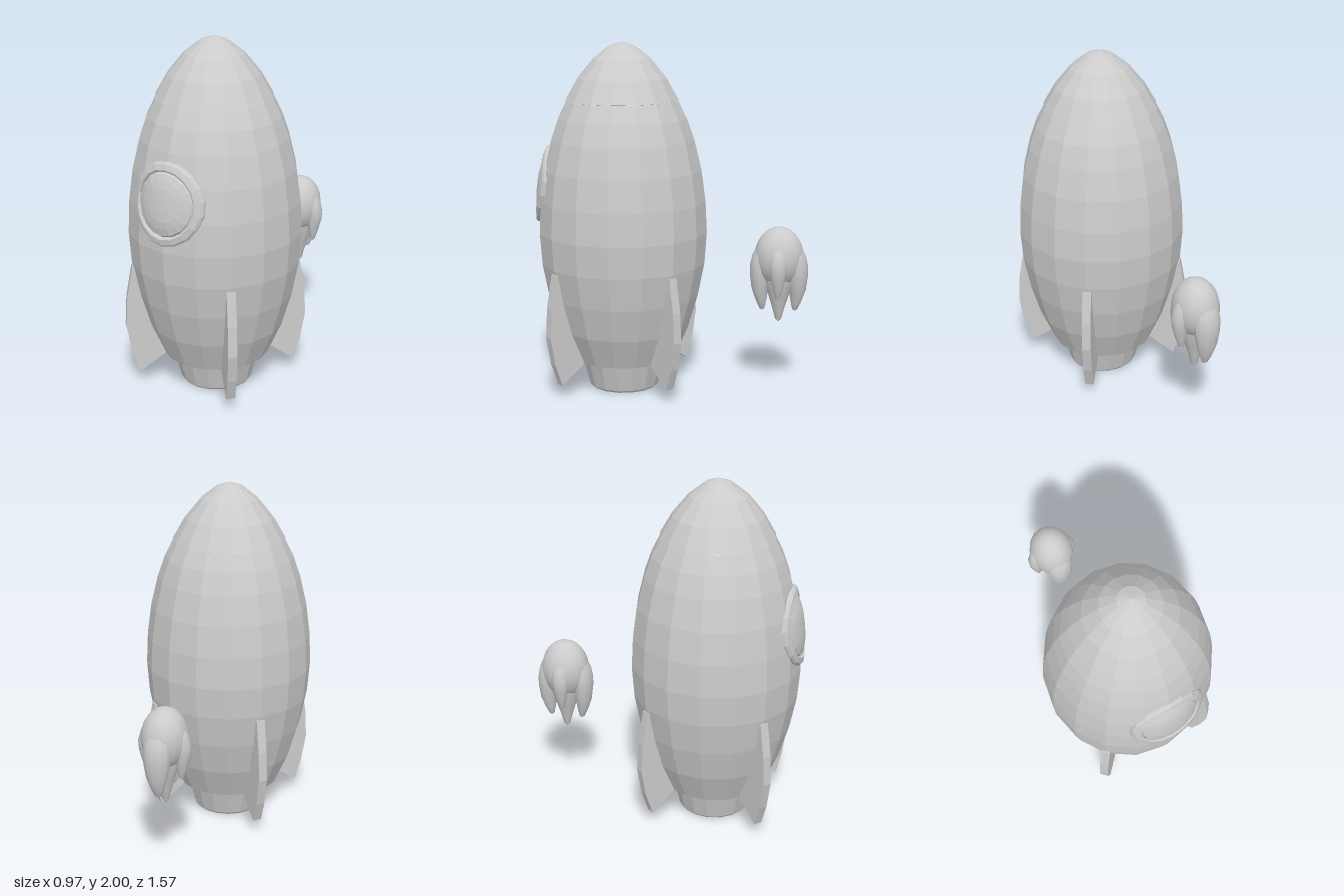
import * as THREE from 'three';

const AXIS_Z = 0.28; // the rocket stands forward of the origin
const material = new THREE.MeshStandardMaterial({ color: 0xcccccc, flatShading: true });
const smooth = new THREE.MeshStandardMaterial({ color: 0xcccccc });

// hull outline as [radius, height], bottom to top
const HULL = [[0.3, 0.18], [0.38, 0.36], [0.435, 0.55], [0.472, 0.74], [0.485, 0.92],
  [0.477, 1.1], [0.453, 1.28], [0.412, 1.45], [0.37, 1.57], [0.32, 1.67]];

function lathe(points, sides) {
  return new THREE.LatheGeometry(points.map(([r, y]) => new THREE.Vector2(r, y)), sides);
}

function add(parent, name, geometry, mat = material) {
  const mesh = new THREE.Mesh(geometry, mat);
  mesh.name = name;
  parent.add(mesh);
  return mesh;
}

// move every vertex by a rule
function bend(geometry, rule) {
  const pos = geometry.attributes.position;
  const v = new THREE.Vector3();
  for (let i = 0; i < pos.count; i++) {
    rule(v.fromBufferAttribute(pos, i), i);
    pos.setXYZ(i, v.x, v.y, v.z);
  }
  geometry.computeVertexNormals();
  return geometry;
}

function hullRadius(y) {
  const k = Math.max(1, HULL.findIndex((p) => p[1] >= y));
  const [r0, y0] = HULL[k - 1], [r1, y1] = HULL[k];
  return THREE.MathUtils.lerp(r0, r1, (y - y0) / (y1 - y0));
}

// round part laid on the front of the hull, following its curve
function onHull(points, sides) {
  const geometry = lathe(points, sides).rotateX(Math.PI / 2).translate(0, 1.185, 0);
  return bend(geometry, (v) => { v.z += Math.sqrt(hullRadius(v.y) ** 2 - v.x ** 2); });
}

function makeFin() {
  const shape = new THREE.Shape();
  shape.moveTo(0.28, 0.19);
  shape.lineTo(0.445, 0.075);
  shape.lineTo(0.488, 0.2);
  shape.lineTo(0.517, 0.36);
  shape.lineTo(0.508, 0.53);
  shape.lineTo(0.474, 0.72);
  shape.lineTo(0.45, 0.72);
  shape.lineTo(0.36, 0.4);
  return new THREE.ExtrudeGeometry(shape, { depth: 0.05, bevelEnabled: false }).translate(0, 0, -0.025);
}

// tapered drip; rows are [radius, height, outward offset], bottom to top
function makeDrip(rows, width = 1) {
  return bend(lathe(rows, 12), (v, i) => {
    v.z *= width;
    v.x += rows[i % rows.length][2];
  });
}

export function createModel() {
  const model = new THREE.Group();
  model.name = 'rocketWithFlame';

  const rocket = new THREE.Group();
  rocket.name = 'rocket';
  rocket.position.z = AXIS_Z;
  model.add(rocket);

  // hull, nose cap and hollow nozzle
  add(rocket, 'hull', lathe([[0, 0.18], ...HULL], 16));
  add(rocket, 'noseCap', lathe([[0.315, 1.67], [0.325, 1.672], [0.255, 1.795], [0.165, 1.905],
    [0.075, 1.975], [0, 2]], 16));
  add(rocket, 'nozzle', lathe([[0, 0.14], [0.115, 0.14], [0.115, 0.01], [0.125, 0], [0.193, 0],
    [0.203, 0.012], [0.247, 0.18]], 16));

  // porthole
  add(rocket, 'windowFrame', onHull([[0.225, -0.03], [0.225, 0.006], [0.215, 0.016],
    [0.185, 0.02], [0.175, 0.012], [0.172, -0.01]], 18));
  add(rocket, 'windowGlass', onHull([[0.174, 0], [0.165, 0.012], [0.13, 0.02], [0.09, 0.025],
    [0.045, 0.028], [0, 0.029]], 18));

  // four fins on the diagonals
  for (let i = 0; i < 4; i++) {
    add(rocket, 'fin', makeFin()).rotation.y = Math.PI / 4 + i * Math.PI / 2;
  }

  // flame floating behind: a domed top with hanging drips
  const flame = new THREE.Group();
  flame.name = 'flame';
  flame.position.z = -0.62;
  model.add(flame);

  const dome = new THREE.SphereGeometry(1, 16, 12).scale(0.13, 0.175, 0.14).translate(0, 0.79, 0);
  add(flame, 'flameDome', dome, smooth);
  add(flame, 'flameCore', makeDrip([[0, 0.408, 0], [0.018, 0.425, 0], [0.035, 0.49, 0],
    [0.06, 0.57, 0], [0.09, 0.66, 0], [0.1, 0.76, 0]]), smooth);

  const longDrip = [[0, 0.474, 0.093], [0.015, 0.485, 0.094], [0.03, 0.53, 0.1], [0.048, 0.6, 0.107],
    [0.06, 0.68, 0.105], [0.063, 0.74, 0.102], [0.06, 0.8, 0.092], [0.045, 0.86, 0.075], [0, 0.9, 0.05]];
  const shortDrip = [[0, 0.562, 0.095], [0.014, 0.573, 0.096], [0.03, 0.63, 0.1], [0.045, 0.7, 0.105],
    [0.053, 0.76, 0.102], [0.05, 0.82, 0.088], [0.035, 0.87, 0.075], [0, 0.9, 0.05]];
  for (let i = 0; i < 4; i++) {
    const drip = i % 2 ? makeDrip(longDrip, 1.25) : makeDrip(shortDrip);
    add(flame, 'flameDrip', drip, smooth).rotation.y = i * Math.PI / 2;
  }

  return model;
}
